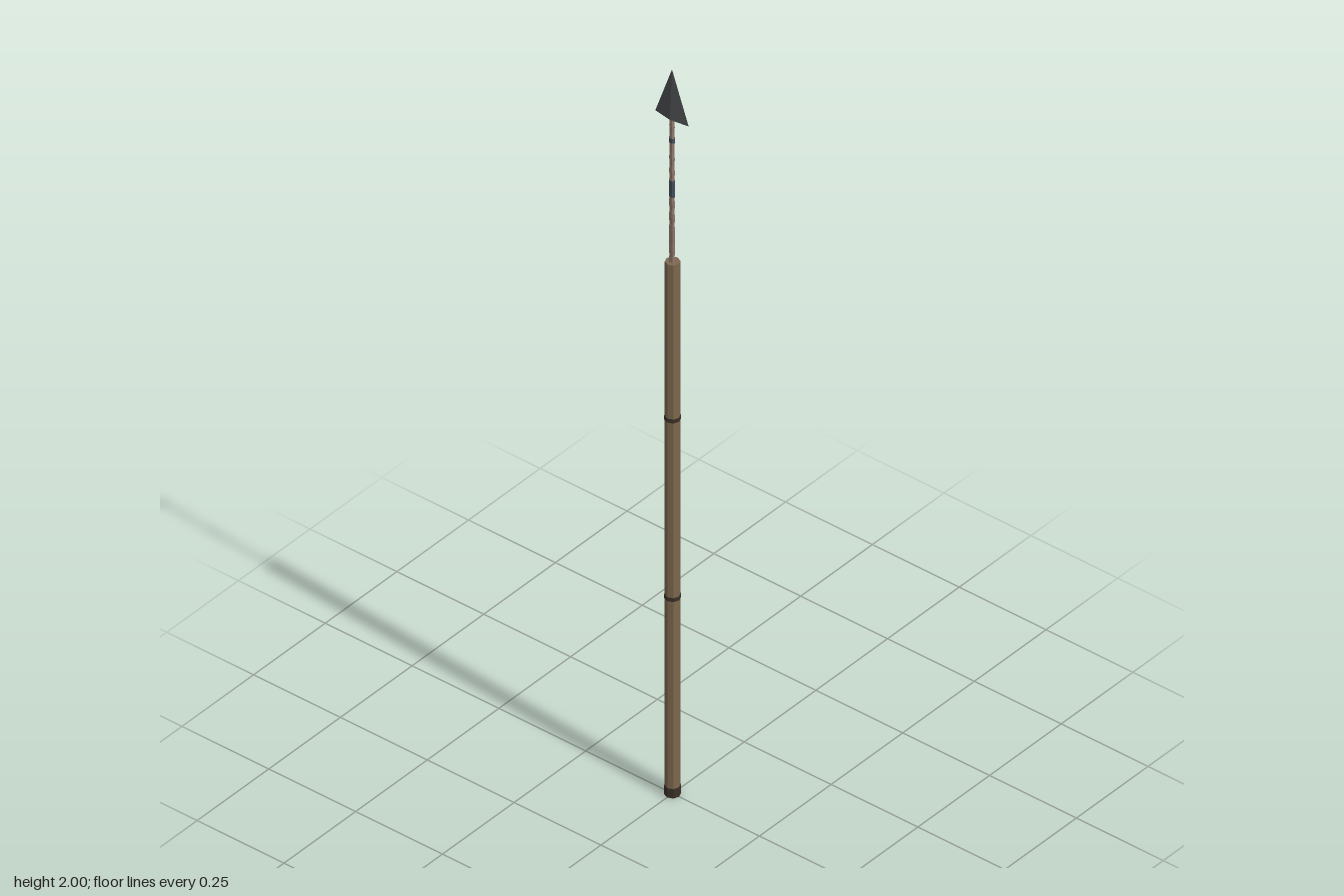
import * as THREE from 'three';

export function createModel() {
  const spear = new THREE.Group();
  spear.name = 'spear';
  const mat = (color) => new THREE.MeshStandardMaterial({ color, flatShading: true });
  const wood = mat(0x7d684e), binding = mat(0x3b3127), iron = mat(0x4f5052);
  const rust = mat(0x957c70), steel = mat(0x48505a);

  // Faceted rod between two heights, with separate half widths in x and z
  function rod(name, material, y0, y1, rx, rz, { sides = 8, top = 1, rows = 1, x = 0, z = 0 } = {}) {
    const geo = new THREE.CylinderGeometry(top, 1, y1 - y0, sides, rows);
    geo.scale(rx, 1, rz);
    const mesh = new THREE.Mesh(geo, material);
    mesh.name = name;
    mesh.position.set(x, (y0 + y1) / 2, z);
    spear.add(mesh);
    return mesh;
  }

  // Wooden shaft with its butt cap and grip bands
  rod('shaft', wood, 0.01, 1.47, 0.0175, 0.0175);
  rod('buttCap', binding, 0, 0.025, 0.019, 0.019);
  for (const y of [0.547, 1.04]) rod('shaftBand', binding, y - 0.005, y + 0.005, 0.019, 0.019);

  // Flat iron shank with a slightly corroded, uneven edge
  const shank = rod('shank', rust, 1.45, 1.88, 0.005, 0.009, { sides: 6, rows: 24, x: -0.002 });
  const p = shank.geometry.attributes.position;
  for (let i = 0; i < p.count; i++) {
    const y = p.getY(i);
    const wear = 0.92 + 0.1 * Math.sin(y * 150);
    p.setX(i, p.getX(i) * wear);
    p.setZ(i, p.getZ(i) * wear * (0.95 - 0.4 * y));
  }
  shank.geometry.computeVertexNormals();

  // Bare steel patches around the shank
  for (const [y0, y1] of [[1.65, 1.695], [1.8, 1.812]])
    rod('shankCollar', steel, y0, y1, 0.006, 0.0085, { sides: 6, x: -0.002 });

  // Diamond-section point
  rod('spearhead', iron, 1.865, 2, 0.0075, 0.048, { sides: 4, top: 0, x: -0.002 });
  return spear;
}
